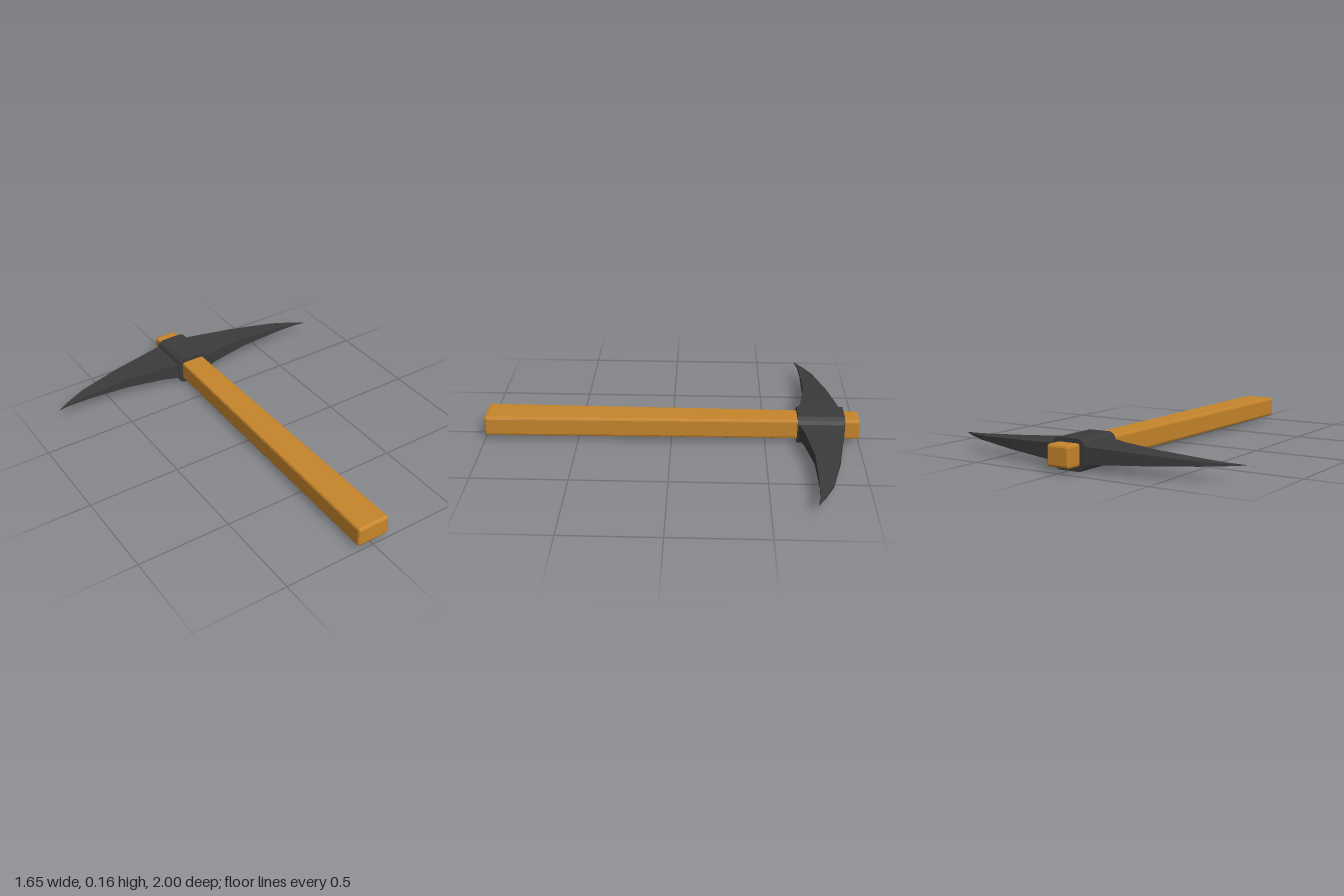
import * as THREE from 'three';
import { RoundedBoxGeometry } from 'three/addons/geometries/RoundedBoxGeometry.js';

const MID_Y = 0.083;

// Blade cross-sections: x, back z, front z, half thickness
const SECTIONS = [
  [0.0, -0.915, -0.67, 0.046],
  [0.09, -0.914, -0.675, 0.043],
  [0.17, -0.902, -0.7, 0.038],
  [0.39, -0.865, -0.734, 0.026],
  [0.64, -0.805, -0.735, 0.011],
  [0.75, -0.757, -0.728, 0.005],
  [0.826, -0.714, -0.713, 0.001],
];

// Curved, tapering spike; side is +1 or -1
function bladeGeometry(side) {
  const positions = [];
  const index = [];
  for (const [x, back, front, h] of SECTIONS) {
    for (const [z, y] of [[front, -h], [front, h], [back, h], [back, -h]]) {
      positions.push(x * side, MID_Y + y, z);
    }
  }
  const quad = (a, b, c, d) => {
    if (side > 0) index.push(a, b, c, a, c, d);
    else index.push(a, c, b, a, d, c);
  };
  for (let i = 0; i < SECTIONS.length - 1; i++) {
    for (let k = 0; k < 4; k++) {
      const a = i * 4 + k;
      const b = i * 4 + ((k + 1) % 4);
      quad(a, a + 4, b + 4, b);
    }
  }
  const tip = (SECTIONS.length - 1) * 4;
  quad(tip, tip + 3, tip + 2, tip + 1);
  const indexed = new THREE.BufferGeometry();
  indexed.setAttribute('position', new THREE.Float32BufferAttribute(positions, 3));
  indexed.setIndex(index);
  const geometry = indexed.toNonIndexed();
  geometry.computeVertexNormals();
  return geometry;
}

// Long bevelled bar, wider at the grip end
function handleGeometry() {
  const geometry = new RoundedBoxGeometry(0.18, 0.108, 2, 1, 0.013);
  const p = geometry.attributes.position;
  for (let i = 0; i < p.count; i++) {
    const t = (p.getZ(i) + 1) / 2;
    p.setX(i, p.getX(i) * THREE.MathUtils.lerp(0.7, 1, t));
  }
  geometry.computeVertexNormals();
  return geometry;
}

// Collar with chamfered corners, extruded along the handle
function collarGeometry() {
  const corner = [[0.092, 0.045], [0.082, 0.066], [0.06, 0.078]];
  const flipped = [...corner].reverse();
  const outline = [
    ...corner,
    ...flipped.map(([x, y]) => [-x, y]),
    ...corner.map(([x, y]) => [-x, -y]),
    ...flipped.map(([x, y]) => [x, -y]),
  ].map(([x, y]) => new THREE.Vector2(x, y));
  return new THREE.ExtrudeGeometry(new THREE.Shape(outline), { depth: 0.247, bevelEnabled: false });
}

export function createModel() {
  const wood = new THREE.MeshStandardMaterial({ color: 0xc6852b });
  wood.name = 'wood';
  const iron = new THREE.MeshStandardMaterial({ color: 0x3b3b3b });
  iron.name = 'darkIron';

  const model = new THREE.Group();
  model.name = 'pickaxe';
  const add = (name, geometry, material, y = 0, z = 0) => {
    const mesh = new THREE.Mesh(geometry, material);
    mesh.name = name;
    mesh.position.set(0, y, z);
    model.add(mesh);
  };

  add('handle', handleGeometry(), wood, MID_Y);
  add('collar', collarGeometry(), iron, 0.081, -0.917);
  add('leftBlade', bladeGeometry(1), iron);
  add('rightBlade', bladeGeometry(-1), iron);
  return model;
}
